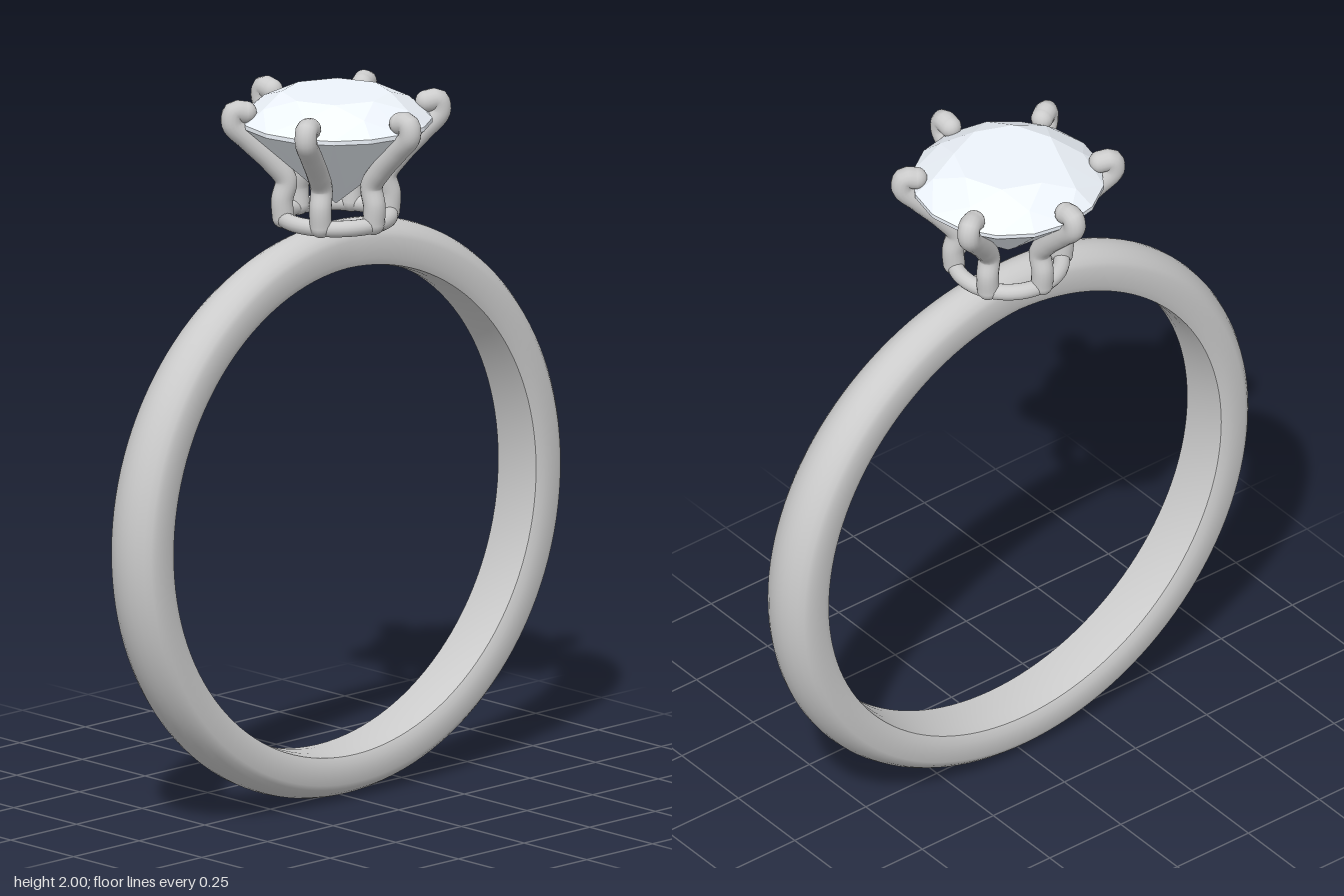
import * as THREE from 'three';
import { toCreasedNormals } from 'three/addons/utils/BufferGeometryUtils.js';
import { ConvexGeometry } from 'three/addons/geometries/ConvexGeometry.js';

const metal = new THREE.MeshStandardMaterial({ color: 0xcccccc });
const stone = new THREE.MeshStandardMaterial({ color: 0xeef4fb, flatShading: true });
const CENTRE_Y = 0.815;

function mesh(name, geometry, material = metal) {
  const m = new THREE.Mesh(geometry, material);
  m.name = name;
  return m;
}

// Domed band, swept round the finger and narrowing towards the top
function bandGeometry() {
  // [z as a share of the half width, radius], from the front edge over the dome
  const half = [[1, 0.71], [1, 0.766], [0.92, 0.78], [0.75, 0.794], [0.5, 0.806], [0.25, 0.813]];
  const inner = [[-0.88, 0.69], [-0.4, 0.685], [0.4, 0.685], [0.88, 0.69]];
  const section = [...half, [0, 0.815], ...half.slice().reverse().map(([z, r]) => [-z, r]), ...inner];
  const steps = 128, n = section.length;
  const positions = [], index = [];
  for (let i = 0; i < steps; i++) {
    const a = (i / steps) * Math.PI * 2;
    const c = Math.cos(a), s = Math.sin(a);
    const width = c > 0 ? 0.057 + 0.029 * Math.abs(s) : 0.086;
    for (const [z, r] of section) positions.push(r * s, CENTRE_Y + r * c, z * width);
    for (let k = 0; k < n; k++) {
      const i2 = (i + 1) % steps, k2 = (k + 1) % n;
      const p = i * n + k, q = i2 * n + k, t = i * n + k2, u = i2 * n + k2;
      index.push(p, q, t, q, u, t);
    }
  }
  const g = new THREE.BufferGeometry();
  g.setAttribute('position', new THREE.Float32BufferAttribute(positions, 3));
  g.setIndex(index);
  return toCreasedNormals(g, 0.6);
}

// Round brilliant: rings of facet corners wrapped in a convex hull
function gemGeometry() {
  const points = [new THREE.Vector3(0, 1.68, 0)];
  const ring = (count, r, y, offset = 0) => {
    for (let i = 0; i < count; i++) {
      const a = ((i + offset) / count) * Math.PI * 2;
      points.push(new THREE.Vector3(r * Math.sin(a), y, r * Math.cos(a)));
    }
  };
  ring(8, 0.15, 1.998);        // table
  ring(8, 0.215, 1.967, 0.5);  // crown
  ring(16, 0.266, 1.925);      // girdle
  ring(16, 0.266, 1.913);
  ring(8, 0.07, 1.737, 0.5);   // pavilion
  return new ConvexGeometry(points);
}

// One claw: rises from the base, flares out and hooks over the stone
function createProng() {
  const prong = new THREE.Group();
  prong.name = 'prong';
  const radius = 0.031;
  const path = [[0.15, 1.65], [0.153, 1.7], [0.142, 1.755], [0.18, 1.808],
    [0.245, 1.873], [0.294, 1.925], [0.288, 1.958], [0.256, 1.955]]
    .map(([r, y]) => new THREE.Vector3(0, y, r));
  const curve = new THREE.CatmullRomCurve3(path);
  prong.add(mesh('prongShaft', new THREE.TubeGeometry(curve, 48, radius, 16)));
  for (const [name, end] of [['prongFoot', path[0]], ['prongTip', path[path.length - 1]]]) {
    const cap = mesh(name, new THREE.SphereGeometry(radius, 16, 12));
    cap.position.copy(end);
    prong.add(cap);
  }
  return prong;
}

export function createModel() {
  const ring = new THREE.Group();
  ring.name = 'ring';
  ring.add(mesh('band', bandGeometry()));

  // Setting: base loop with six claws
  const setting = new THREE.Group();
  setting.name = 'setting';
  const loop = mesh('baseLoop', new THREE.TorusGeometry(0.148, 0.023, 16, 64));
  loop.rotation.x = Math.PI / 2;
  loop.position.y = 1.645;
  setting.add(loop);
  for (let i = 0; i < 6; i++) {
    const prong = createProng();
    prong.rotation.y = (i * Math.PI) / 3;
    setting.add(prong);
  }
  ring.add(setting);

  ring.add(mesh('gemstone', gemGeometry(), stone));
  return ring;
}
